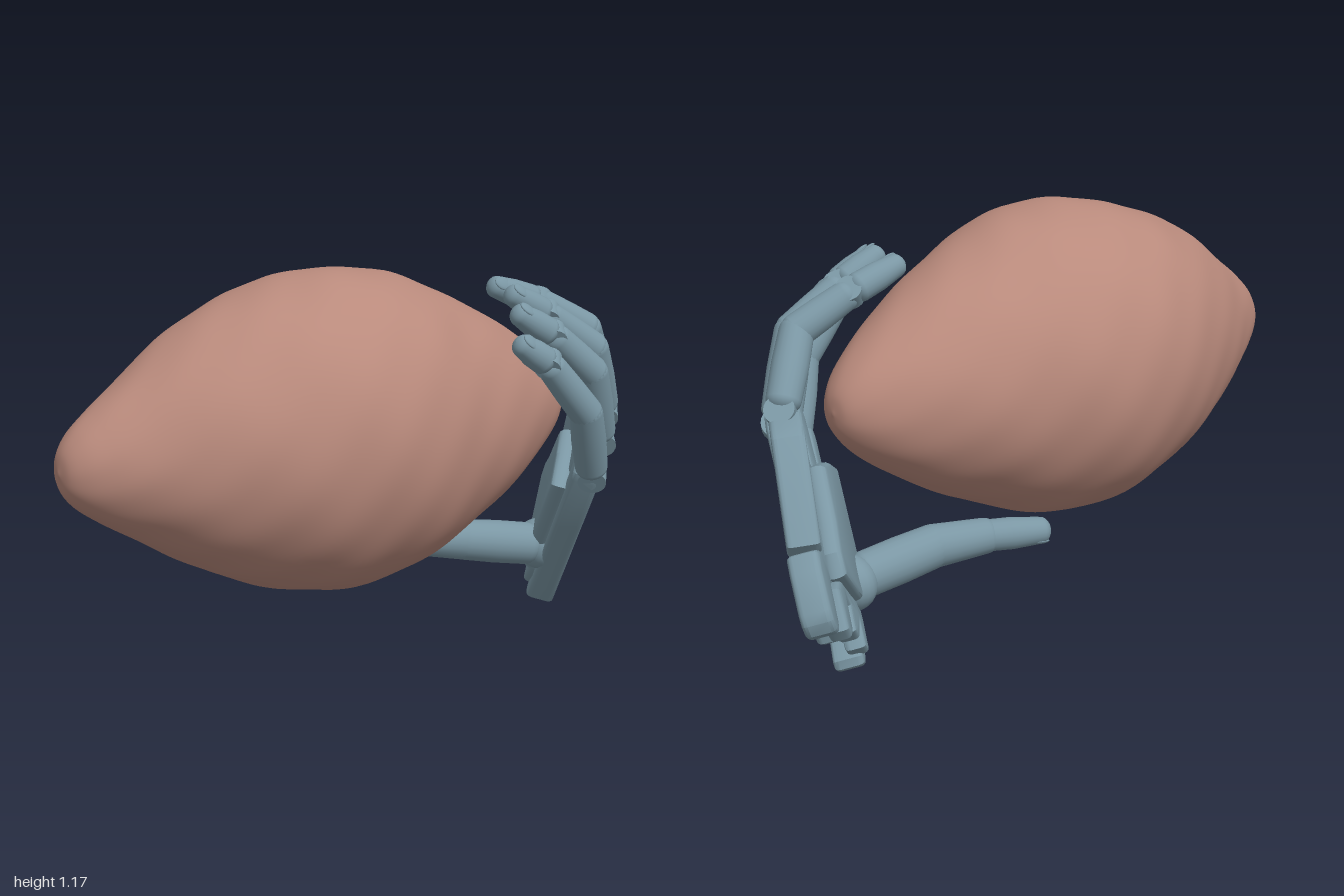
import * as THREE from 'three';
import { mergeVertices, toCreasedNormals } from 'three/addons/utils/BufferGeometryUtils.js';

const V = (x, y, z) => new THREE.Vector3(x, y, z);
const UP = V(0, 1, 0);
const skin = new THREE.MeshStandardMaterial({ color: 0xb98a7c });
const shell = new THREE.MeshStandardMaterial({ color: 0x7b97a4 });

function add(parent, name, geometry, material = shell) {
  const mesh = new THREE.Mesh(geometry, material);
  mesh.name = name;
  parent.add(mesh);
  return mesh;
}

// Lathed fruit lying along x, with a gently lumpy skin
function lemonGeometry() {
  const profile = [[0, -1], [0.055, -0.988], [0.1, -0.955], [0.15, -0.89], [0.212, -0.79], [0.3, -0.65], [0.372, -0.5],
    [0.42, -0.36], [0.445, -0.2], [0.422, 0], [0.362, 0.16], [0.285, 0.33], [0.175, 0.51], [0.1, 0.6], [0.05, 0.635], [0, 0.645]];
  const curve = new THREE.CatmullRomCurve3(profile.map(([r, t]) => V(r, t, 0)), false, 'centripetal');
  const points = curve.getPoints(110).map((p) => new THREE.Vector2(Math.max(0, p.x), p.y));
  let g = new THREE.LatheGeometry(points, 96);
  g.rotateZ(-Math.PI / 2);
  g.deleteAttribute('uv');
  g.deleteAttribute('normal');
  g = mergeVertices(g, 1e-4);
  const p = g.attributes.position;
  for (let i = 0; i < p.count; i++) {
    const x = p.getX(i), y = p.getY(i), z = p.getZ(i);
    const a = Math.atan2(z, y);
    const k = 1 + 0.006 * Math.sin(3 * a + 5 * x) + 0.005 * Math.sin(9 * x + 2 * a + 1)
      + 0.004 * Math.sin(19 * x - 5 * a) + 0.003 * Math.sin(31 * x + 9 * a);
    const droop = x < -0.6 ? 0.04 * (x + 0.6) : 0;
    p.setXYZ(i, x, y * k * 1.04 + droop, z * k * 0.96);
  }
  g.computeVertexNormals();
  return g;
}

// Slanted planes x = a + b*y + c*z for the back of the hand and the little-finger plate
const PALM = [0.655, 0.32, -0.77];
const LITTLE = [0.765, 0.12, -0.65];

// Plate cut to a (z, y) outline on a slanted plane, thickened along its inward normal
function plate(outline, [a, b, c], depth, inset = 0, bevel = 0.016) {
  const shape = new THREE.Shape(outline.map(([z, y]) => new THREE.Vector2(-z, y)));
  const g = new THREE.ExtrudeGeometry(shape, {
    depth: depth - 2 * bevel, bevelThickness: bevel, bevelSize: bevel * 0.7, bevelOffset: -bevel * 0.7, bevelSegments: 3,
  });
  const n = V(1, -b, -c).normalize(), q = V(0, 0, 0), p = g.attributes.position;
  for (let i = 0; i < p.count; i++) {
    const z = -p.getX(i), y = p.getY(i);
    q.set(a + b * y + c * z, y, z).addScaledVector(n, p.getZ(i) + bevel - depth - inset);
    p.setXYZ(i, q.x, q.y, q.z);
  }
  g.deleteAttribute('normal');
  return toCreasedNormals(g, 0.6);
}

// Tapered round-ended link between two points; swell thickens its middle
function link(parent, name, a, b, r0, r1, swell = 0) {
  const len = a.distanceTo(b), pts = [], n = 6;
  for (let i = 0; i <= n; i++) {
    const t = (i / n) * Math.PI / 2;
    pts.push(new THREE.Vector2(r0 * Math.sin(t), -r0 * 0.7 * Math.cos(t)));
  }
  pts.push(new THREE.Vector2((r0 + r1) / 2 + swell, len / 2));
  for (let i = 0; i <= n; i++) {
    const t = (i / n) * Math.PI / 2;
    pts.push(new THREE.Vector2(r1 * Math.cos(t), len + r1 * 0.8 * Math.sin(t)));
  }
  const mesh = add(parent, name, new THREE.LatheGeometry(pts, 20));
  mesh.position.copy(a);
  mesh.quaternion.setFromUnitVectors(UP, b.clone().sub(a).normalize());
}

// Hinge barrel whose axis runs across the finger
function hinge(parent, name, at, axis, r, width) {
  const mesh = add(parent, name, new THREE.CylinderGeometry(r, r, width, 20));
  mesh.position.copy(at);
  mesh.quaternion.setFromUnitVectors(UP, axis);
}

// Flattened nail lying on the outer side of a tip
function nail(parent, a, b, out, r) {
  const dir = b.clone().sub(a).normalize();
  const side = new THREE.Vector3().crossVectors(dir, out).normalize();
  const normal = new THREE.Vector3().crossVectors(side, dir);
  const mesh = add(parent, 'nail', new THREE.SphereGeometry(1, 16, 10));
  mesh.quaternion.setFromRotationMatrix(new THREE.Matrix4().makeBasis(side, dir, normal));
  mesh.scale.set(r * 0.65, r * 0.85, r * 0.22);
  mesh.position.copy(b).addScaledVector(normal, r * 0.83).addScaledVector(dir, -r * 0.2);
}

function finger(name, [base, pip, dip, tip]) {
  const g = new THREE.Group();
  g.name = name;
  const bone = pip.clone().sub(base), next = dip.clone().sub(pip);
  const axis = new THREE.Vector3().crossVectors(bone, next).normalize();
  const out = pip.clone().sub(base.clone().add(tip).multiplyScalar(0.5)).normalize();
  hinge(g, 'knuckle', base, axis, 0.042, 0.062);
  link(g, 'proximalLink', base.clone().lerp(pip, 0.15), pip, 0.048, 0.048, 0.003);
  link(g, 'middleLink', pip, dip.clone().lerp(pip, 0.1), 0.048, 0.042, 0.001);
  hinge(g, 'endJoint', dip, axis, 0.037, 0.056);
  link(g, 'fingertip', dip.clone().lerp(tip, 0.2), tip, 0.042, 0.033, 0.003);
  nail(g, dip, tip, out, 0.034);
  return g;
}

function thumb() {
  const g = new THREE.Group();
  g.name = 'thumb';
  const [root, base, mid, end, tip] = [V(0.625, 0.225, -0.03), V(0.57, 0.235, -0.03), V(0.36, 0.272, -0.07),
    V(0.22, 0.283, -0.13), V(0.07, 0.28, -0.2)];
  // Fleshy mount where the thumb meets the palm
  const mount = add(g, 'thumbMount', new THREE.SphereGeometry(1, 24, 16));
  mount.position.copy(root);
  mount.scale.set(0.07, 0.08, 0.085);
  link(g, 'thumbBaseLink', base, mid, 0.066, 0.063, 0.002);
  link(g, 'thumbMiddleLink', mid, end, 0.063, 0.052);
  link(g, 'thumbTip', end, tip, 0.046, 0.039, 0.004);
  nail(g, end, tip, V(0, -1, -0.4), 0.038);
  return g;
}

export function createModel() {
  const model = new THREE.Group();
  model.name = 'handHoldingLemon';

  const lemon = add(model, 'lemon', lemonGeometry(), skin);
  lemon.position.set(0, 0.713, 0);

  const hand = new THREE.Group();
  hand.name = 'hand';
  model.add(hand);

  // Palm with rounded finger lobes on top and hinge lugs along the wrist
  add(hand, 'palm', plate([
    [-0.07, 0.002], [-0.04, 0.012], [0, 0.065], [0.19, 0.32], [0.325, 0.5], [0.335, 0.525], [0.33, 0.55], [0.305, 0.565],
    [0.275, 0.555], [0.215, 0.47], [0.205, 0.465], [0.195, 0.475], [0.265, 0.61], [0.267, 0.64], [0.25, 0.667], [0.225, 0.67],
    [0.205, 0.655], [0.13, 0.54], [0.115, 0.535], [0.107, 0.55], [0.18, 0.65], [0.182, 0.685], [0.165, 0.705], [0.135, 0.707],
    [0.09, 0.68], [-0.03, 0.5], [-0.025, 0.42], [-0.065, 0.405], [-0.08, 0.46],
    [-0.18, 0.44], [-0.215, 0.455], [-0.25, 0.42], [-0.31, 0.335], [-0.32, 0.305], [-0.315, 0.27], [-0.295, 0.25], [-0.265, 0.255],
    [-0.185, 0.34], [-0.165, 0.31], [-0.165, 0.265], [-0.205, 0.215], [-0.205, 0.175], [-0.185, 0.16], [-0.125, 0.205],
    [-0.065, 0.145], [-0.005, 0.13], [-0.03, 0.09], [-0.1, 0.045], [-0.105, 0.02], [-0.09, 0.005]], PALM, 0.085));

  // Inner halves of the wrist lugs, set deeper than the back plate
  add(hand, 'wristLugs', plate([
    [-0.02, 0.1], [-0.085, 0.04], [-0.11, 0.075], [-0.07, 0.135], [-0.15, 0.13], [-0.175, 0.17], [-0.125, 0.22],
    [-0.145, 0.27], [-0.22, 0.195], [-0.25, 0.2], [-0.265, 0.235], [-0.21, 0.33], [-0.1, 0.32], [0.04, 0.2]], PALM, 0.06, 0.045));

  // Separate plate carrying the little finger
  add(hand, 'littleMetacarpal', plate([
    [0.05, 0.71], [0.045, 0.735], [0.02, 0.75], [-0.04, 0.735], [-0.07, 0.72], [-0.215, 0.48], [-0.19, 0.44], [-0.06, 0.41],
    [0, 0.42], [0.07, 0.62]], LITTLE, 0.09));

  // Cushion inside the palm
  add(hand, 'palmPad', plate([
    [0.02, 0.12], [0.15, 0.31], [0.25, 0.45], [0.15, 0.52], [0.05, 0.56], [-0.07, 0.45], [-0.15, 0.4], [-0.18, 0.34], [-0.08, 0.22]],
  PALM, 0.06, 0.07, 0.025));

  // Joints run knuckle, middle joint, end joint, tip
  const fingers = {
    indexFinger: [V(0.565, 0.53, 0.295), V(0.47, 0.75, 0.376), V(0.33, 0.91, 0.375), V(0.245, 0.968, 0.366)],
    middleFinger: [V(0.655, 0.61, 0.22), V(0.55, 0.845, 0.298), V(0.41, 0.968, 0.292), V(0.3, 1.036, 0.278)],
    ringFinger: [V(0.735, 0.67, 0.135), V(0.62, 0.895, 0.212), V(0.47, 1.005, 0.183), V(0.358, 1.07, 0.168)],
    littleFinger: [V(0.805, 0.75, 0.01), V(0.68, 0.93, 0.103), V(0.535, 1.02, 0.055), V(0.39, 1.073, 0.038)],
  };
  for (const [name, joints] of Object.entries(fingers)) hand.add(finger(name, joints));
  hand.add(thumb());
  return model;
}
